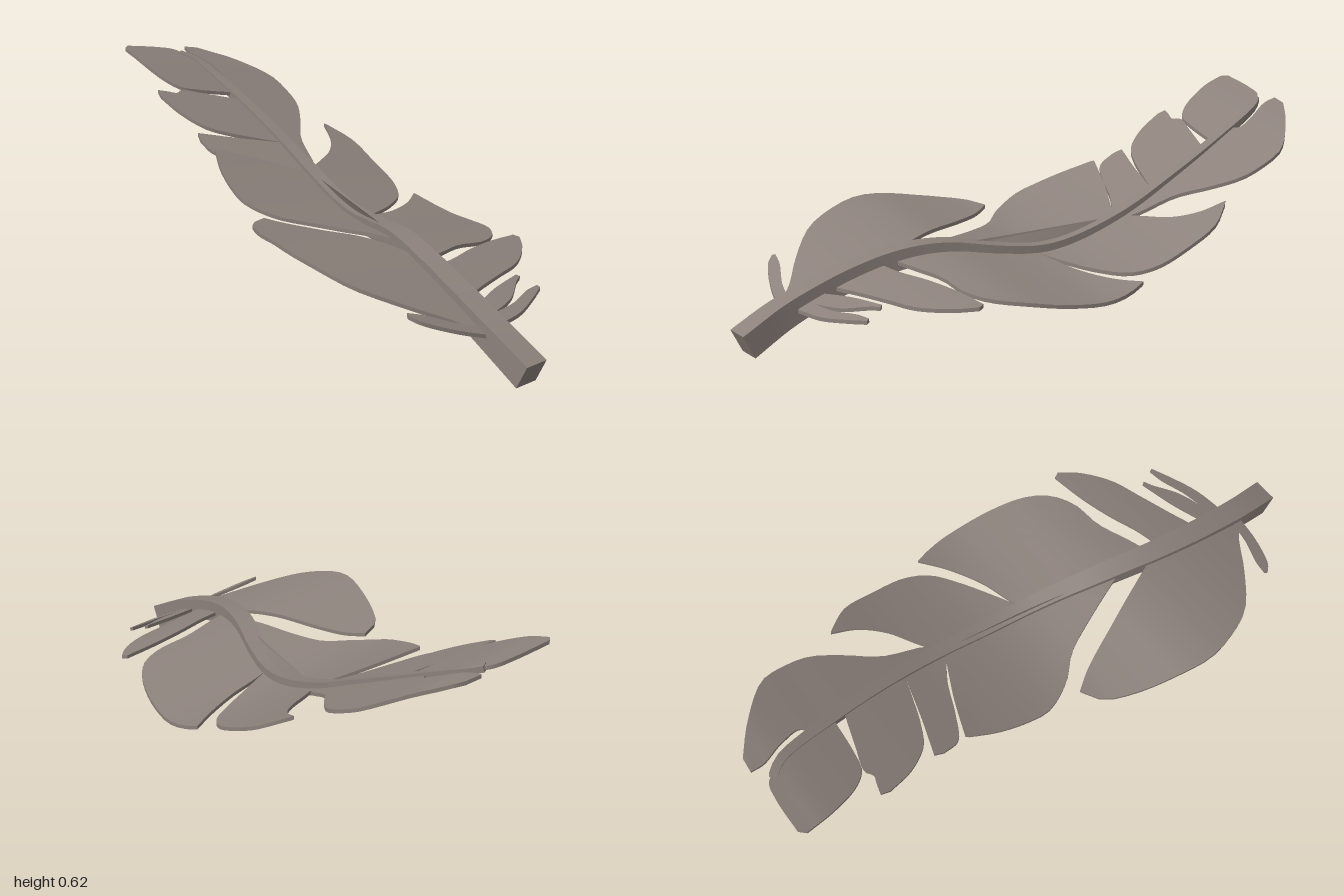
import * as THREE from 'three';
import { toCreasedNormals } from 'three/addons/utils/BufferGeometryUtils.js';

const V = (x, y, z) => new THREE.Vector3(x, y, z);

// Centre line of the quill, from the raised tip to the thick butt
const spine = new THREE.CatmullRomCurve3([
  [-0.95, 0.57, -0.01], [-0.9, 0.55, -0.045], [-0.7, 0.46, -0.08], [-0.5, 0.37, -0.1],
  [-0.3, 0.28, -0.105], [-0.1, 0.215, -0.09], [0.02, 0.2, -0.075], [0.15, 0.212, -0.045],
  [0.3, 0.235, 0], [0.4, 0.235, 0.025], [0.5, 0.22, 0.045], [0.6, 0.195, 0.058],
  [0.7, 0.163, 0.066], [0.85, 0.105, 0.07], [0.98, 0.041, 0.062],
].map((p) => V(...p)));
const samples = spine.getPoints(300);

// Point of the centre line at a given x, continued straight past the ends
function spineAt(x) {
  let i = 0;
  while (i < samples.length - 2 && samples[i + 1].x < x) i++;
  const a = samples[i], b = samples[i + 1];
  return a.clone().lerp(b, (x - a.x) / (b.x - a.x));
}

// Closed solid through a row of rings
function loft(rings) {
  const n = rings[0].length, last = (rings.length - 1) * n, index = [];
  for (let i = 0; i < rings.length - 1; i++) {
    for (let k = 0; k < n; k++) {
      const a = i * n + k, b = i * n + (k + 1) % n;
      index.push(a, a + n, b + n, a, b + n, b);
    }
  }
  for (let k = 1; k < n - 1; k++) index.push(0, k, k + 1, last, last + k + 1, last + k);
  const g = new THREE.BufferGeometry();
  g.setFromPoints(rings.flat());
  g.setIndex(index);
  return toCreasedNormals(g, 0.6);
}

// Tapered rectangular quill
function quillGeometry() {
  const rings = [];
  for (let i = 0; i <= 60; i++) {
    const t = i / 60, c = spine.getPointAt(t), tan = spine.getTangentAt(t);
    const side = V().crossVectors(tan, V(0, 1, 0)).normalize();
    const up = V().crossVectors(side, tan);
    const w = 0.014 + 0.026 * t, h = 0.009 + 0.033 * t;
    rings.push([[1, 1], [-1, 1], [-1, -1], [1, -1]].map(([s, u]) =>
      c.clone().addScaledVector(side, s * w).addScaledVector(up, u * h)));
  }
  return loft(rings);
}

// Thin barb between two edges, each running outward from the quill as [x, z]
function vaneGeometry(left, right, roll) {
  const rows = 24, cols = 10, half = 0.006;
  const edge = (pts) => new THREE.CatmullRomCurve3(pts.map(([x, z]) => V(x, 0, z)), false, 'centripetal').getSpacedPoints(rows);
  const front = left[left.length - 1][1] > left[0][1] + 0.02;
  const a = edge(front ? left : right), b = edge(front ? right : left);
  const rings = [];
  for (let i = 0; i <= rows; i++) {
    const top = [], bottom = [];
    for (let j = 0; j <= cols; j++) {
      const p = a[i].clone().lerp(b[i], j / cols), s = spineAt(p.x);
      if (i === 0) p.z = s.z;
      p.y = s.y + roll * (p.z - s.z);
      top.push(p.clone().add(V(0, half, 0)));
      bottom.unshift(p.clone().add(V(0, -half, 0)));
    }
    rings.push([...top, ...bottom]);
  }
  return loft(rings);
}

const frontVanes = [
  { left: [[-0.9, -0.04], [-0.97, 0], [-0.985, 0.06], [-0.99, 0.18]],
    right: [[-0.7, -0.08], [-0.715, 0.06], [-0.73, 0.12], [-0.78, 0.16], [-0.88, 0.19], [-0.97, 0.2]] },
  { left: [[-0.66, -0.08], [-0.7, 0.04], [-0.725, 0.125], [-0.71, 0.15], [-0.72, 0.18], [-0.73, 0.215]],
    right: [[-0.43, -0.09], [-0.46, 0], [-0.49, 0.08], [-0.53, 0.15], [-0.61, 0.2], [-0.7, 0.222]], roll: 0.13 },
  { left: [[-0.43, -0.09], [-0.475, 0.06], [-0.52, 0.19]],
    right: [[-0.27, -0.09], [-0.33, 0], [-0.38, 0.11], [-0.43, 0.19], [-0.49, 0.2]], roll: 0.08 },
  { left: [[-0.27, -0.1], [-0.35, 0.06], [-0.405, 0.195]],
    right: [[0.36, 0.03], [0.17, 0.1], [0.06, 0.15], [-0.02, 0.22], [-0.13, 0.27], [-0.21, 0.265], [-0.31, 0.24], [-0.395, 0.203]] },
  { left: [[0.48, 0.05], [0.41, 0.08], [0.22, 0.16], [0.06, 0.23], [-0.01, 0.275]],
    right: [[0.87, 0.08], [0.78, 0.16], [0.7, 0.27], [0.59, 0.39], [0.49, 0.435], [0.38, 0.457], [0.25, 0.435], [0.11, 0.39], [0.03, 0.345], [0, 0.295]] },
  { left: [[0.81, 0.08], [0.79, 0.18], [0.755, 0.27], [0.745, 0.32]],
    right: [[0.845, 0.08], [0.82, 0.2], [0.78, 0.3], [0.755, 0.325]], roll: 0.24 },
];

const backVanes = [
  { left: [[-0.78, -0.06], [-0.8, -0.1], [-0.87, -0.09], [-0.95, -0.06], [-0.995, -0.06]],
    right: [[-0.28, -0.11], [-0.3, -0.14], [-0.45, -0.19], [-0.55, -0.26], [-0.64, -0.31], [-0.73, -0.32], [-0.8, -0.31], [-0.92, -0.2], [-0.99, -0.11]] },
  { left: [[-0.28, -0.1], [-0.33, -0.18], [-0.38, -0.26], [-0.45, -0.32], [-0.53, -0.35]],
    right: [[0.04, -0.08], [-0.02, -0.2], [-0.07, -0.29], [-0.13, -0.37], [-0.21, -0.41], [-0.33, -0.417], [-0.44, -0.41], [-0.52, -0.36]], roll: 0.18 },
  { left: [[0.04, -0.08], [0.02, -0.13], [-0.01, -0.24], [-0.07, -0.36], [-0.13, -0.44]],
    right: [[0.49, 0.04], [0.46, -0.05], [0.42, -0.16], [0.41, -0.265], [0.37, -0.345], [0.3, -0.4], [0.17, -0.445], [0, -0.465], [-0.08, -0.455], [-0.12, -0.444]] },
  { left: [[0.53, 0.04], [0.51, -0.05], [0.47, -0.16], [0.44, -0.27], [0.42, -0.39]],
    right: [[0.69, 0.05], [0.65, -0.05], [0.61, -0.16], [0.57, -0.265], [0.5, -0.355], [0.44, -0.4]], roll: 0.12 },
  { left: [[0.73, 0.05], [0.68, -0.07], [0.645, -0.19]],
    right: [[0.78, 0.05], [0.73, -0.09], [0.67, -0.17], [0.655, -0.197]], roll: 0.06 },
  { left: [[0.775, 0.06], [0.75, -0.08], [0.715, -0.17], [0.705, -0.22]],
    right: [[0.815, 0.06], [0.79, -0.07], [0.75, -0.16], [0.715, -0.225]], roll: 0.06 },
];

export function createModel() {
  const group = new THREE.Group();
  group.name = 'feather';
  const material = new THREE.MeshStandardMaterial({ color: 0x8c817b });
  material.name = 'warmGrey';
  const add = (name, geometry) => {
    const mesh = new THREE.Mesh(geometry, material);
    mesh.name = name;
    group.add(mesh);
  };

  add('quill', quillGeometry());
  for (const [name, vanes] of [['frontVane', frontVanes], ['backVane', backVanes]]) {
    vanes.forEach(({ left, right, roll = 0.17 }, i) => add(name + (i + 1), vaneGeometry(left, right, roll)));
  }
  return group;
}
